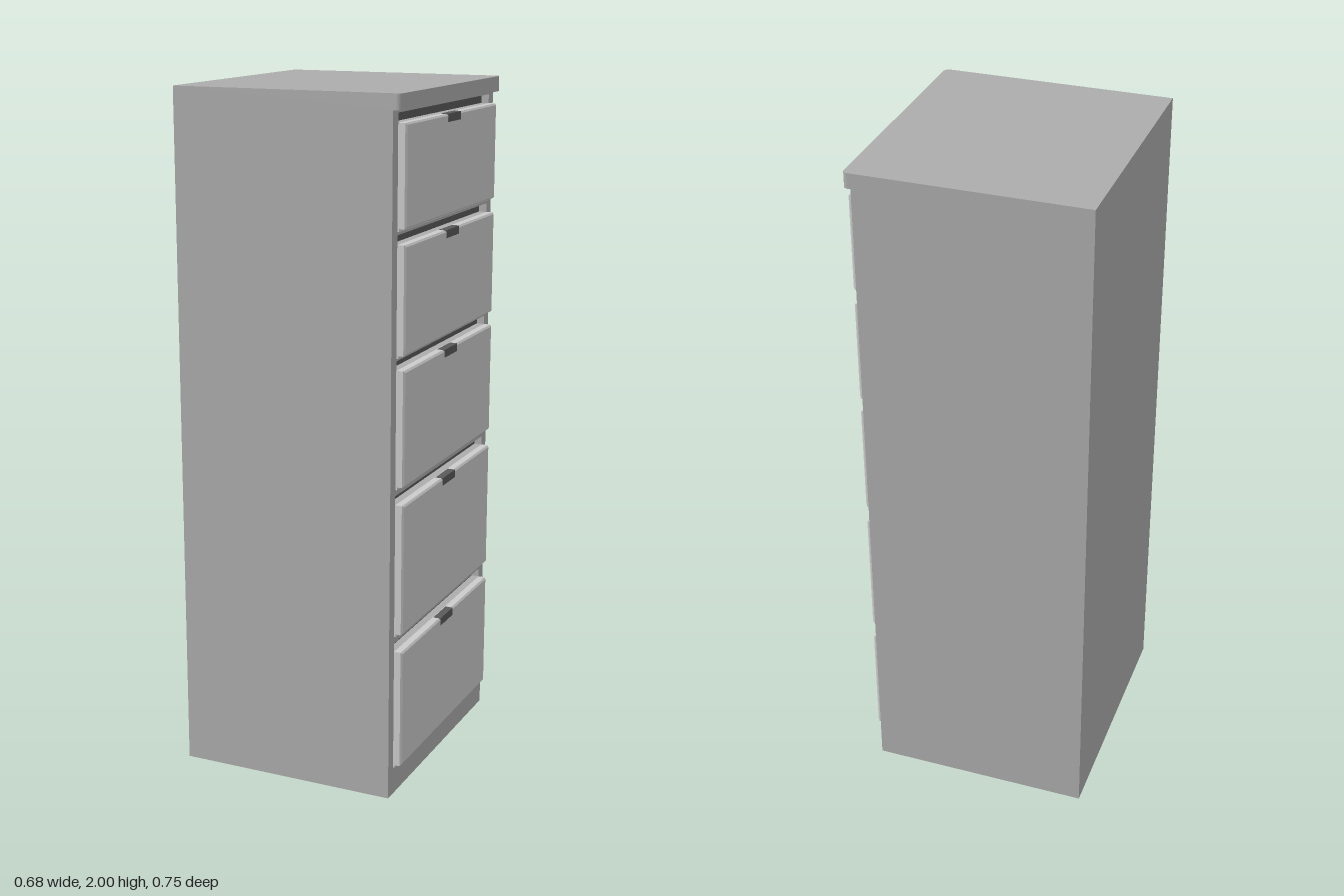
import * as THREE from 'three';

const bodyMat = new THREE.MeshStandardMaterial({ color: 0xacacac });
const drawerMat = new THREE.MeshStandardMaterial({ color: 0xcccccc });
const darkMat = new THREE.MeshStandardMaterial({ color: 0x5a5a5a });

// Drawer fronts as [bottom, top], and the finger slot height above each one
const DRAWERS = [[0.09, 0.44], [0.493, 0.875], [0.927, 1.257], [1.298, 1.6], [1.643, 1.922]];
const SLOT = 0.026;
const HALF_W = 0.34;

function addBox(parent, name, mat, x0, x1, y0, y1, z0, z1) {
  const mesh = new THREE.Mesh(new THREE.BoxGeometry(x1 - x0, y1 - y0, z1 - z0), mat);
  mesh.position.set((x0 + x1) / 2, (y0 + y1) / 2, (z0 + z1) / 2);
  mesh.name = name;
  parent.add(mesh);
}

function rectangle(PathType, w, y0, y1) {
  return new PathType([[-w, y0], [w, y0], [w, y1], [-w, y1]].map(p => new THREE.Vector2(...p)));
}

// Extrudes a shape drawn in (z, y) towards +x, starting at x0
function extrudeX(shape, x0, options) {
  const geo = new THREE.ExtrudeGeometry(shape, { bevelEnabled: false, ...options });
  return geo.rotateY(Math.PI / 2).translate(x0, 0, 0);
}

export function createModel() {
  const model = new THREE.Group();
  model.name = 'drawerCabinet';

  // Carcass with a slotted front plate
  addBox(model, 'carcass', bodyMat, -0.34, 0.29, 0, 1.956, -0.375, 0.375);
  const plate = rectangle(THREE.Shape, 0.375, 0, 1.956);
  for (const [, top] of DRAWERS) plate.holes.push(rectangle(THREE.Path, HALF_W, top, top + SLOT));
  const frame = new THREE.Mesh(extrudeX(plate, 0.29, { depth: 0.025 }), bodyMat);
  frame.name = 'frontFrame';
  model.add(frame);

  // Overhanging top with rounded front corners
  const r = 0.015;
  const slab = new THREE.Shape();
  slab.moveTo(-0.34, -0.375);
  slab.lineTo(0.338 - r, -0.375);
  slab.absarc(0.338 - r, -0.375 + r, r, -Math.PI / 2, 0);
  slab.absarc(0.338 - r, 0.375 - r, r, 0, Math.PI / 2);
  slab.lineTo(-0.34, 0.375);
  const topGeo = new THREE.ExtrudeGeometry(slab, { depth: 0.044, bevelEnabled: false, curveSegments: 6 });
  const top = new THREE.Mesh(topGeo.rotateX(-Math.PI / 2).translate(0, 1.956, 0), bodyMat);
  top.name = 'topPanel';
  model.add(top);

  // Drawers: backing lip, bevelled front, pull tab and dark slot lining
  DRAWERS.forEach(([y0, y1], i) => {
    const drawer = new THREE.Group();
    drawer.name = 'drawer' + (i + 1);
    const b = 0.005;
    const front = new THREE.Mesh(extrudeX(rectangle(THREE.Shape, HALF_W - b, y0 + b, y1 - b), 0.315,
      { depth: 0.02, bevelEnabled: true, bevelThickness: b, bevelSize: b, bevelSegments: 1 }), drawerMat);
    front.name = 'drawerFront';
    drawer.add(front);
    addBox(drawer, 'drawerLip', drawerMat, 0.31, 0.32, y0 - 0.008, y0 + 0.01, -HALF_W, HALF_W);
    addBox(drawer, 'slotLining', darkMat, 0.288, 0.292, y1, y1 + SLOT, -HALF_W, HALF_W);
    addBox(drawer, 'pullTab', darkMat, 0.318, 0.341, y1 - 0.022, y1 + 0.001, -0.048, 0.048);
    model.add(drawer);
  });

  return model;
}
